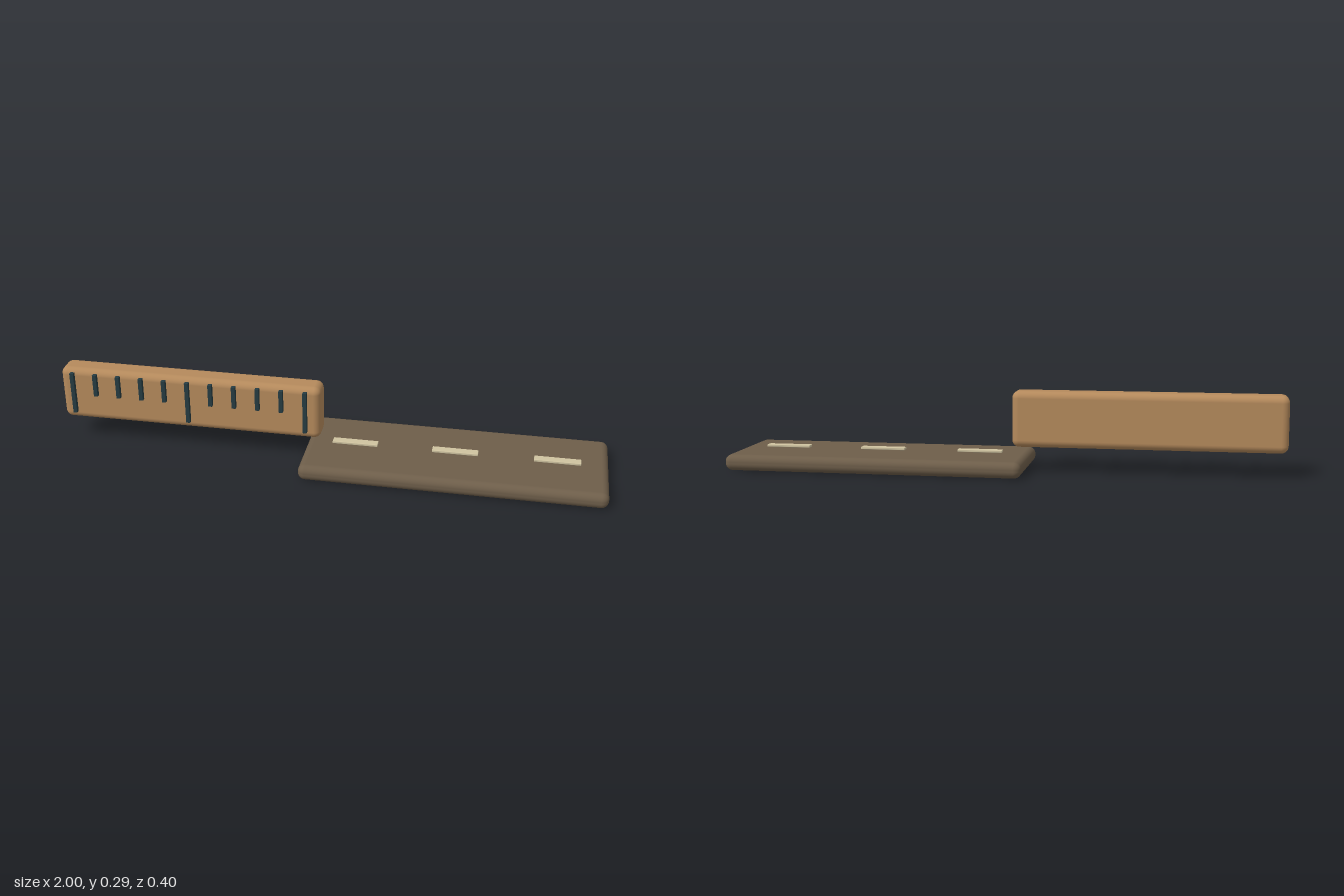
import * as THREE from 'three';
import { RoundedBoxGeometry } from 'three/addons/geometries/RoundedBoxGeometry.js';

function material(name, color) {
  const m = new THREE.MeshStandardMaterial({ color });
  m.name = name;
  return m;
}

export function createModel() {
  const model = new THREE.Group();
  const wood = material('warm wood', 0xb58a5c);
  const asphalt = material('brown slab', 0x6e5e4a);
  const ink = material('dark teal ink', 0x263c42);
  const paint = material('pale road paint', 0xcfc3a0);

  // Rounded block given by its size and centre
  function block(name, mat, [w, h, d], [x, y, z], radius) {
    const mesh = new THREE.Mesh(new RoundedBoxGeometry(w, h, d, 4, radius), mat);
    mesh.name = name;
    mesh.position.set(x, y, z);
    model.add(mesh);
  }

  // Flat road slab with three centre dashes
  block('roadSlab', asphalt, [1.084, 0.058, 0.4], [0.458, 0.029, 0], 0.026);
  for (let i = 0; i < 3; i++) {
    block('roadDash', paint, [0.165, 0.009, 0.031], [0.094 + i * 0.363, 0.0665, 0], 0.002);
  }

  // Upright ruler
  block('ruler', wood, [0.972, 0.203, 0.095], [-0.514, 0.19, 0], 0.026);

  // Tick marks standing off the front, every fifth one long
  for (let i = 0; i < 11; i++) {
    const h = i % 5 === 0 ? 0.16 : 0.085;
    block('tickMark', ink, [0.015, h, 0.015], [-0.947 + i * 0.0867, 0.285 - h / 2, 0.066], 0.001);
  }
  return model;
}
